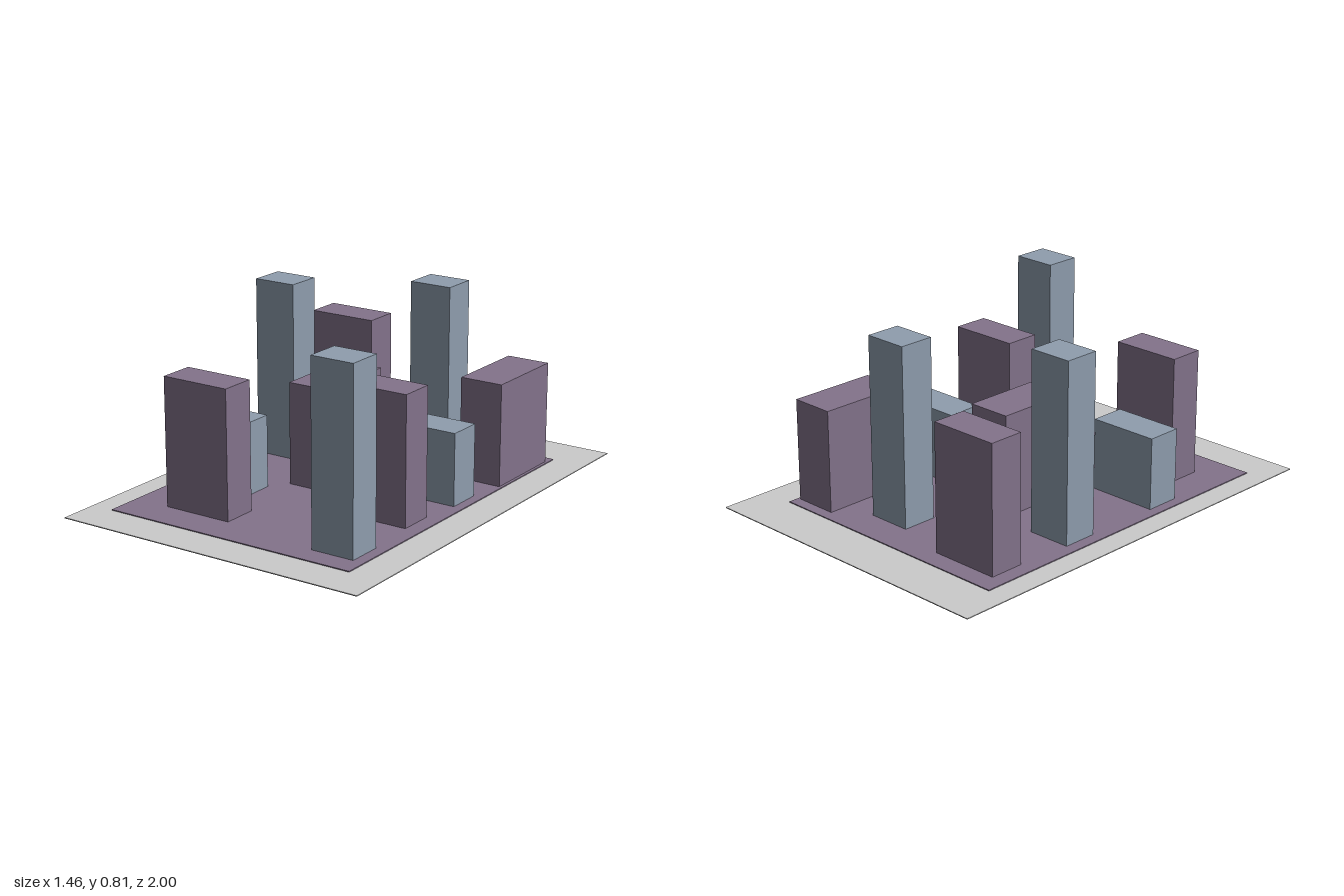
import * as THREE from 'three';

const grey = new THREE.MeshStandardMaterial({ color: 0xcccccc });
const purple = new THREE.MeshStandardMaterial({ color: 0x83738b });
const blue = new THREE.MeshStandardMaterial({ color: 0x8f9dae });

// Box given by its centre on the ground, its footprint and its bottom and top heights
function block(name, material, x, z, width, depth, bottom, top) {
  const mesh = new THREE.Mesh(new THREE.BoxGeometry(width, top - bottom, depth), material);
  mesh.position.set(x, (bottom + top) / 2, z);
  mesh.name = name;
  return mesh;
}

// Each kind of building: footprint, height and the spots [x, z] where it stands
const buildings = [
  { name: 'tower', material: blue, width: 0.2, depth: 0.16, top: 0.81,
    spots: [[0.115, -0.545], [-0.472, -0.2], [0.425, 0.645]] },
  { name: 'lowBlock', material: blue, width: 0.32, depth: 0.16, top: 0.33,
    spots: [[0.371, -0.09], [-0.418, 0.31]] },
  { name: 'wideBlock', material: purple, width: 0.32, depth: 0.16, top: 0.578,
    spots: [[-0.396, -0.61], [-0.296, 0.588], [0.344, 0.24]] },
  { name: 'deepBlock', material: purple, width: 0.2, depth: 0.4, top: 0.465,
    spots: [[0.462, -0.53], [-0.1, -0.052]] },
];

export function createModel() {
  const model = new THREE.Group();
  model.name = 'cityBlock';

  // Ground slab with a thin paved area on top
  model.add(block('ground', grey, 0, 0, 1.46, 2, 0, 0.004));
  model.add(block('pavedArea', purple, -0.025, 0.023, 1.2, 1.605, 0.004, 0.008));

  // Buildings
  for (const { name, material, width, depth, top, spots } of buildings) {
    spots.forEach(([x, z], i) => {
      model.add(block(name + (i + 1), material, x, z, width, depth, 0.008, top));
    });
  }
  return model;
}
